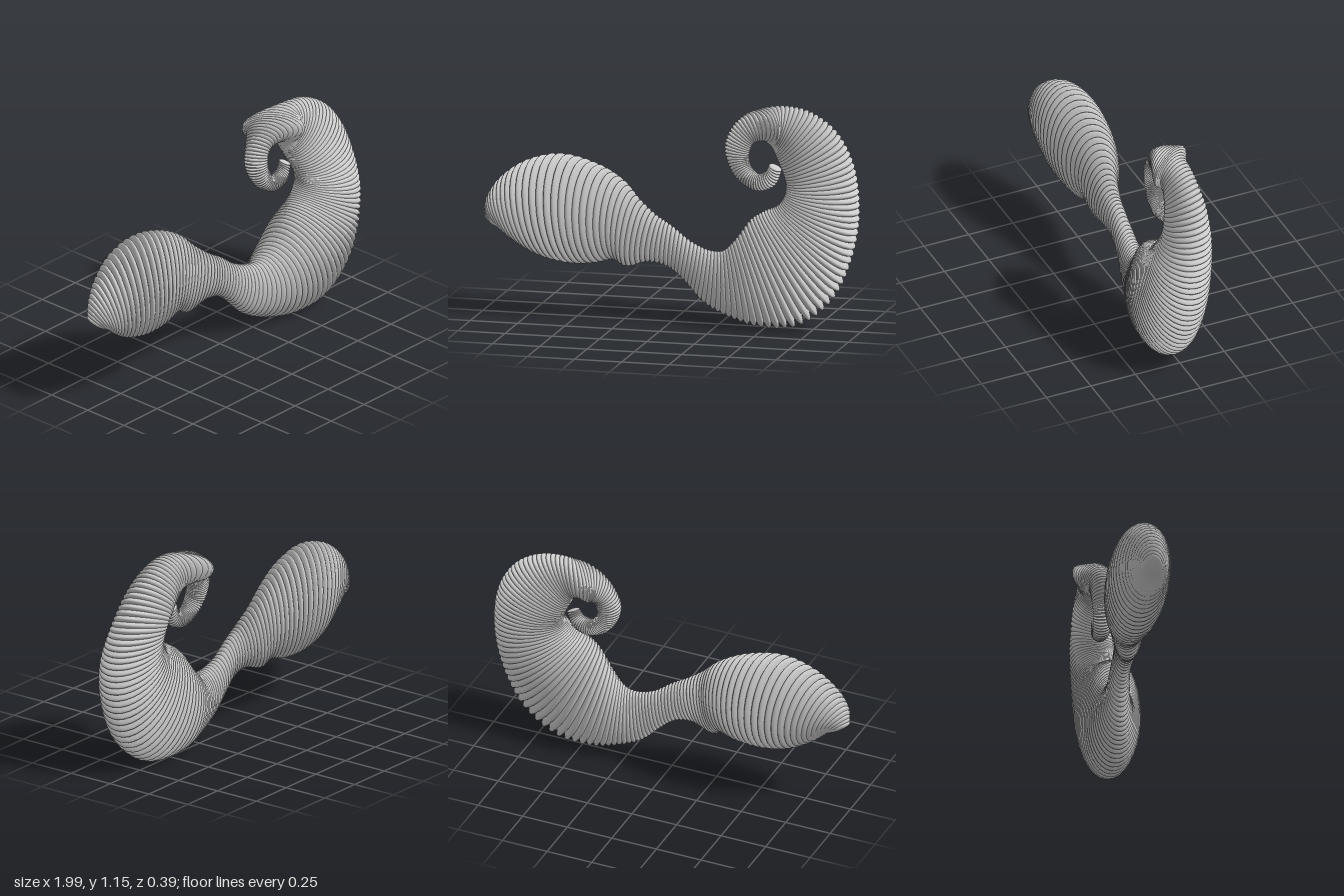
import * as THREE from 'three';

// Key sections along the body: inner edge x,y / outer edge x,y / depth centre, half depth,
// slant (how far the front edge runs ahead) and half thickness of the plate.
const frontLobe = [
  [-0.99, 0.53, -0.87, 0.45, 0.0, 0.05, -0.3, 0.02],
  [-0.97, 0.62, -0.84, 0.42, 0.0, 0.08, -0.35, 0.025],
  [-0.90, 0.72, -0.78, 0.365, -0.01, 0.11, -0.4, 0.03],
  [-0.77, 0.81, -0.68, 0.31, -0.02, 0.14, -0.4, 0.035],
  [-0.60, 0.85, -0.55, 0.28, -0.02, 0.15, -0.4, 0.035],
  [-0.42, 0.81, -0.42, 0.285, -0.02, 0.135, -0.45, 0.035],
  [-0.28, 0.735, -0.31, 0.31, -0.02, 0.10, -0.45, 0.03],
  [-0.18, 0.64, -0.24, 0.28, -0.01, 0.075, -0.3, 0.025],
  [-0.08, 0.56, -0.13, 0.31, 0.0, 0.06, -0.1, 0.022],
];
const rearLobe = [
  [0.0, 0.51, -0.02, 0.29, 0.0, 0.05, 0.1, 0.022],
  [0.10, 0.435, 0.07, 0.22, 0.0, 0.055, 0.25, 0.024],
  [0.20, 0.395, 0.17, 0.12, 0.01, 0.07, 0.35, 0.028],
  [0.28, 0.40, 0.30, 0.055, 0.02, 0.10, 0.4, 0.032],
  [0.35, 0.47, 0.48, 0.01, 0.03, 0.14, 0.4, 0.036],
  [0.42, 0.57, 0.68, 0.03, 0.035, 0.16, 0.3, 0.04],
  [0.49, 0.62, 0.85, 0.16, 0.035, 0.165, 0.2, 0.04],
  [0.56, 0.65, 0.95, 0.36, 0.03, 0.16, 0.1, 0.04],
  [0.60, 0.70, 0.995, 0.60, 0.015, 0.145, 0.0, 0.038],
  [0.60, 0.76, 0.965, 0.85, -0.02, 0.12, -0.15, 0.036],
  [0.57, 0.83, 0.87, 1.03, -0.04, 0.10, -0.25, 0.034],
  [0.54, 0.89, 0.73, 1.13, -0.05, 0.085, -0.3, 0.03],
];
const curl = [
  [0.52, 0.93, 0.59, 1.155, -0.055, 0.085, -0.4, 0.028],
  [0.48, 0.96, 0.48, 1.13, -0.065, 0.13, -0.7, 0.022],
  [0.44, 0.96, 0.38, 1.105, -0.065, 0.09, -0.5, 0.02],
  [0.41, 0.94, 0.30, 1.03, -0.06, 0.06, -0.3, 0.018],
  [0.395, 0.89, 0.265, 0.91, -0.05, 0.055, -0.2, 0.016],
  [0.405, 0.84, 0.32, 0.78, -0.04, 0.05, -0.2, 0.014],
  [0.44, 0.80, 0.43, 0.71, -0.035, 0.045, -0.2, 0.013],
  [0.485, 0.81, 0.53, 0.735, -0.035, 0.04, -0.2, 0.012],
  [0.505, 0.85, 0.57, 0.82, -0.04, 0.03, -0.2, 0.01],
];

// Smooth interpolation of every column between the key sections
const keys = [...frontLobe, ...rearLobe, ...curl];
function sectionAt(t) {
  const i = Math.min(Math.floor(t), keys.length - 2), f = t - i;
  const row = k => keys[Math.max(0, Math.min(keys.length - 1, k))];
  const [p, a, b, n] = [row(i - 1), row(i), row(i + 1), row(i + 2)];
  return a.map((v, c) => v + 0.5 * f * (b[c] - p[c]
    + f * (2 * p[c] - 5 * v + 4 * b[c] - n[c] + f * (3 * (v - b[c]) + n[c] - p[c]))));
}

const plateGeometry = new THREE.SphereGeometry(1, 28, 16);
const material = new THREE.MeshStandardMaterial({ color: 0xcccccc, roughness: 0.8 });

// One lens-shaped plate spanning the inner and outer edge of a section
function makePlate([ax, ay, bx, by, z, halfDepth, slant, thickness]) {
  const across = new THREE.Vector3(ax - bx, ay - by, 0);
  const halfSpan = across.length() / 2;
  across.normalize();
  const forward = new THREE.Vector3(across.y, -across.x, 0);
  const depth = new THREE.Vector3(0, 0, 1).addScaledVector(forward, slant);
  const depthScale = depth.length();
  depth.normalize();
  const normal = new THREE.Vector3().crossVectors(across, depth);
  const plate = new THREE.Mesh(plateGeometry, material);
  // sphere poles sit at the two ends of the long axis
  plate.quaternion.setFromRotationMatrix(new THREE.Matrix4().makeBasis(depth, across, normal.negate()));
  plate.scale.set(halfDepth * depthScale, halfSpan, thickness);
  plate.position.set((ax + bx) / 2, (ay + by) / 2, z);
  return plate;
}

export function createModel() {
  const model = new THREE.Group();
  model.name = 'curledPlatedBody';
  const parts = ['frontLobe', 'rearLobe', 'curl'].map(name => {
    const g = new THREE.Group();
    g.name = name;
    model.add(g);
    return g;
  });

  // Walk along the body and set a plate whenever the longer edge has moved one pitch
  const last = keys.length - 1, stepSize = 0.01;
  let previous = sectionAt(0), travelled = Infinity;
  for (let t = 0; t <= last; t += stepSize) {
    const s = sectionAt(t);
    travelled += Math.max(
      Math.hypot(s[0] - previous[0], s[1] - previous[1]),
      Math.hypot(s[2] - previous[2], s[3] - previous[3]));
    previous = s;
    const pitch = 0.012 + 0.055 * Math.hypot(s[0] - s[2], s[1] - s[3]);
    if (travelled < pitch) continue;
    travelled = 0;
    const plate = makePlate(s);
    const part = t < frontLobe.length ? 0 : t < frontLobe.length + rearLobe.length ? 1 : 2;
    plate.name = 'plate';
    parts[part].add(plate);
  }
  return model;
}
